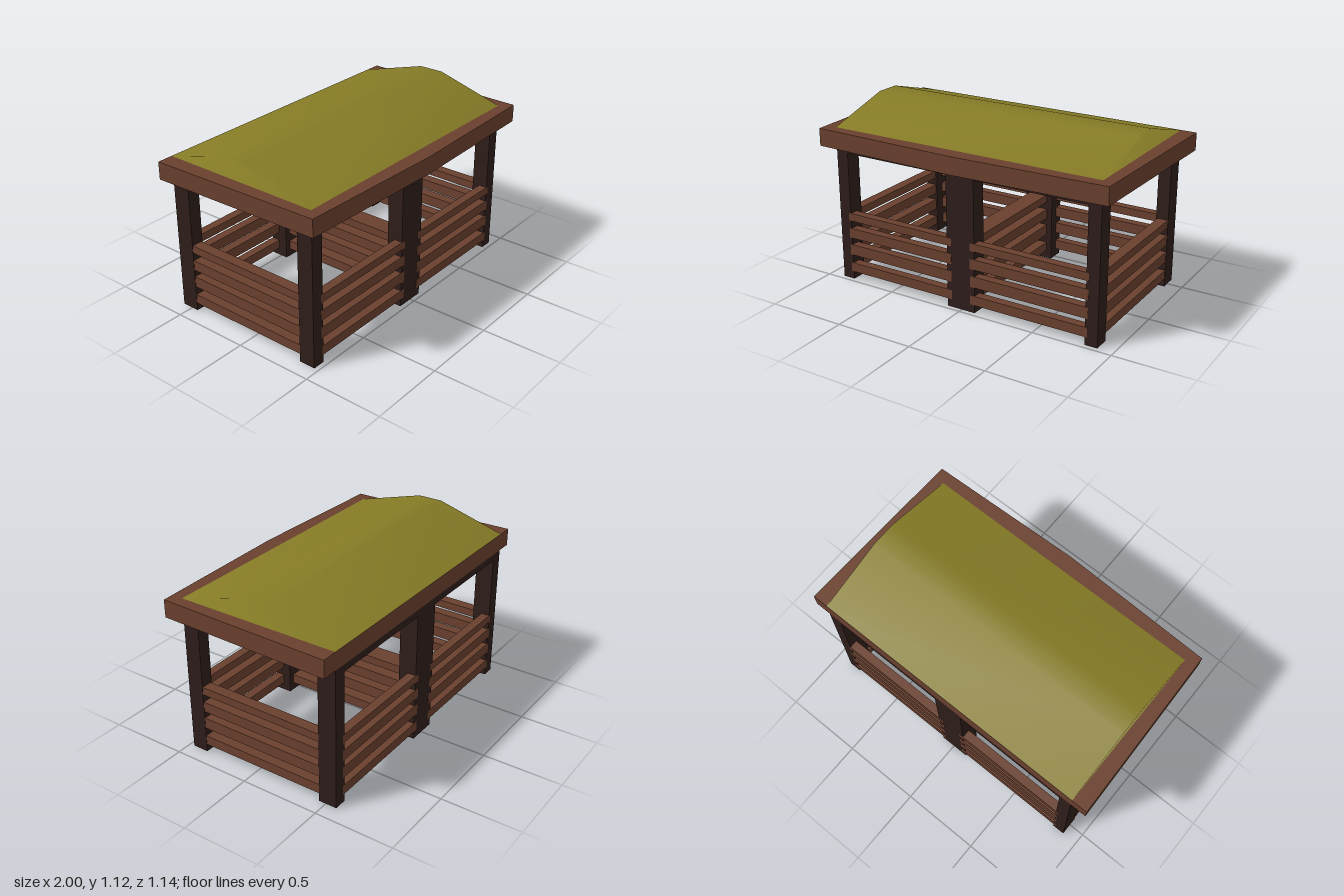
import * as THREE from 'three';

const dark = new THREE.MeshStandardMaterial({ color: 0x2e1d1a });
const wood = new THREE.MeshStandardMaterial({ color: 0x6a402e });
const moss = new THREE.MeshStandardMaterial({ color: 0x857b26 });

// Box given by its limits on each axis
function box(name, material, [x0, x1], [y0, y1], [z0, z1]) {
  const mesh = new THREE.Mesh(new THREE.BoxGeometry(x1 - x0, y1 - y0, z1 - z0), material);
  mesh.position.set((x0 + x1) / 2, (y0 + y1) / 2, (z0 + z1) / 2);
  mesh.name = name;
  return mesh;
}

// Trapezoid profile (z, y) swept along x, with shared vertices for soft shading
function roofGeometry(halfLength) {
  const profile = [[0.47, 0.99], [0.03, 1.115], [-0.13, 1.115], [-0.57, 0.99]];
  const points = [], index = [];
  for (const x of [-halfLength, halfLength]) for (const [z, y] of profile) points.push(x, y, z);
  for (let i = 0; i < 3; i++) index.push(i, i + 4, i + 5, i, i + 5, i + 1);
  index.push(0, 1, 2, 0, 2, 3, 4, 6, 5, 4, 7, 6);
  const geometry = new THREE.BufferGeometry();
  geometry.setAttribute('position', new THREE.Float32BufferAttribute(points, 3));
  geometry.setIndex(index);
  geometry.computeVertexNormals();
  return geometry;
}

export function createModel() {
  const group = new THREE.Group();

  // Six posts under a flat ceiling slab
  for (const [side, z] of [['front', [0.367, 0.47]], ['back', [-0.57, -0.455]]]) {
    for (const [place, x] of [['Right', [-0.9, -0.82]], ['Middle', [-0.1, 0.09]], ['Left', [0.82, 0.9]]]) {
      group.add(box(`${side}${place}Post`, dark, x, [0, 0.84], z));
    }
  }
  group.add(box('ceiling', dark, [-0.9, 0.9], [0.836, 0.88], [-0.57, 0.47]));

  // Four rows of rails: outer ones flush with the posts, broad ones across the middle
  for (const y of [[0.05, 0.11], [0.165, 0.235], [0.28, 0.345], [0.395, 0.445]]) {
    for (const [side, z] of [['front', [0.415, 0.471]], ['back', [-0.571, -0.515]]]) {
      for (const x of [[-0.835, -0.07], [0.06, 0.835]]) {
        group.add(box(`${side}Rail`, wood, x, y, z));
      }
    }
    for (const [side, x] of [['right', [-0.898, -0.83]], ['middle', [-0.065, 0.055]], ['left', [0.83, 0.898]]]) {
      group.add(box(`${side}Rail`, wood, x, y, [-0.46, 0.37]));
    }
  }

  // Eaves frame, slightly bowed at the front
  const outline = new THREE.Shape([[-1, 0.57], [-0.97, -0.54], [0, -0.57], [0.97, -0.54], [1, 0.57]]
    .map(([x, y]) => new THREE.Vector2(x, y)));
  const plate = new THREE.ExtrudeGeometry(outline, { depth: 0.11, bevelEnabled: false });
  plate.rotateX(-Math.PI / 2);
  const eaves = new THREE.Mesh(plate, wood);
  eaves.position.y = 0.88;
  eaves.name = 'eavesFrame';
  group.add(eaves);

  // Roof
  const roof = new THREE.Mesh(roofGeometry(0.9), moss);
  roof.name = 'roof';
  group.add(roof);
  return group;
}
